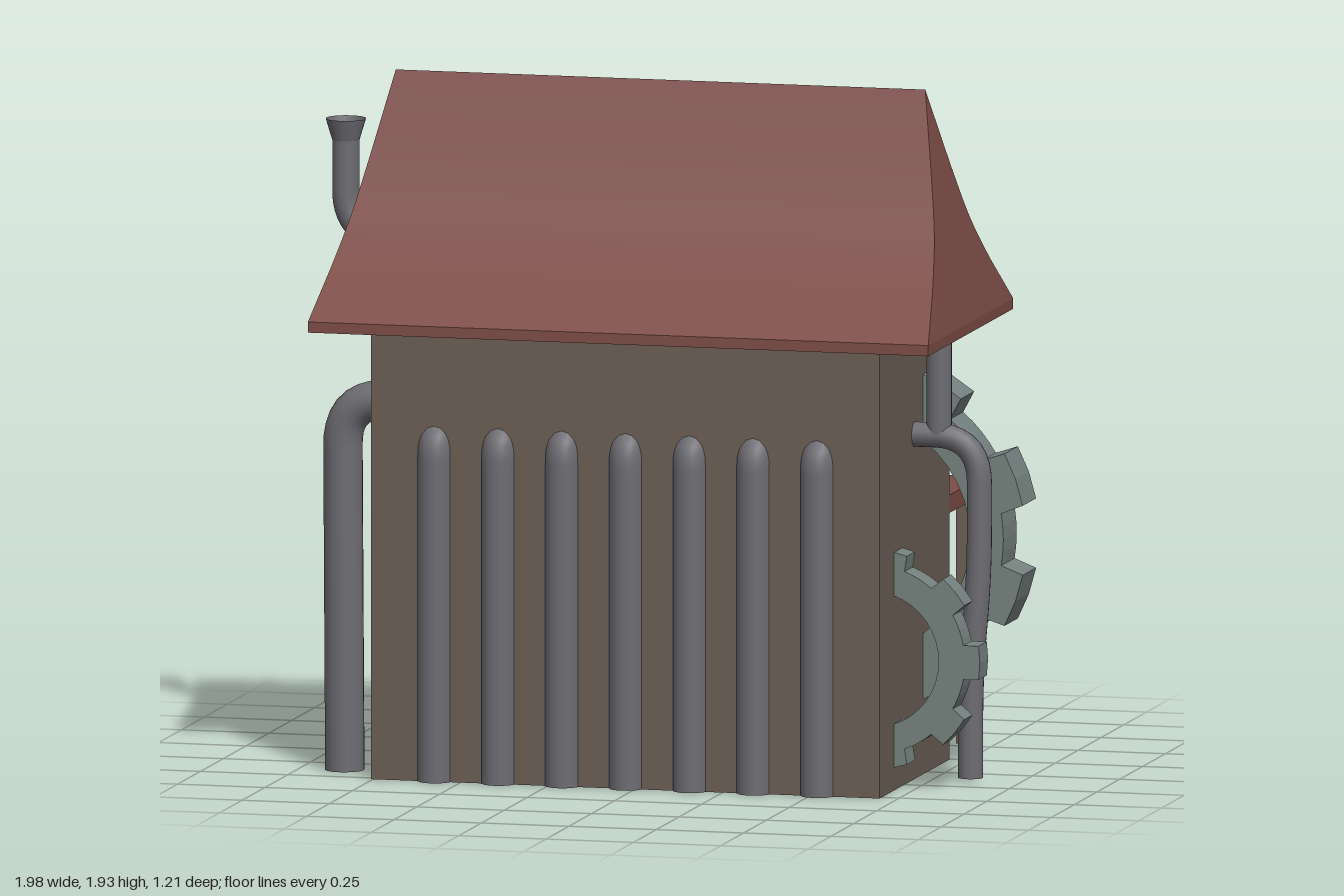
import * as THREE from 'three';

const mat = (color, side = THREE.FrontSide) => new THREE.MeshStandardMaterial({ color, side });
const V = (x, y, z) => new THREE.Vector3(x, y, z);

export function createModel() {
  const model = new THREE.Group();
  const wall = mat(0x6b5e55), tile = mat(0x7d4c47), metal = mat(0x6c6c72, THREE.DoubleSide);
  const iron = mat(0x75827f), glass = mat(0xb4c43c), dark = mat(0x4a403a);

  const add = (name, geometry, material, x = 0, y = 0, z = 0, parent = model) => {
    const mesh = new THREE.Mesh(geometry, material);
    mesh.name = name;
    mesh.position.set(x, y, z);
    parent.add(mesh);
    return mesh;
  };
  // Box given by its min and max corners
  const box = (name, material, x0, x1, y0, y1, z0, z1) =>
    add(name, new THREE.BoxGeometry(x1 - x0, y1 - y0, z1 - z0), material,
      (x0 + x1) / 2, (y0 + y1) / 2, (z0 + z1) / 2);

  // Pipe along straight runs with rounded corners; ends are capped
  const pipe = (name, points, r, bend) => {
    const path = new THREE.CurvePath();
    let from = points[0];
    for (let i = 1; i < points.length - 1; i++) {
      const p = points[i];
      const a = p.clone().add(points[i - 1].clone().sub(p).setLength(bend));
      const b = p.clone().add(points[i + 1].clone().sub(p).setLength(bend));
      path.add(new THREE.LineCurve3(from, a));
      path.add(new THREE.QuadraticBezierCurve3(a, p, b));
      from = b;
    }
    path.add(new THREE.LineCurve3(from, points[points.length - 1]));
    add(name, new THREE.TubeGeometry(path, 48, r, 16), metal);
    for (const t of [0, 1]) {
      const p = path.getPoint(t), d = path.getTangent(t).multiplyScalar(t ? 1 : -1);
      const cap = add(name + 'Cap', new THREE.CircleGeometry(r, 16), metal, p.x, p.y, p.z);
      cap.lookAt(p.clone().add(d));
    }
  };

  // Toothed ring, centred in depth; one tooth is centred on the phase angle
  const gear = (name, R, root, hole, teeth, depth, phase, x, y, z) => {
    const shape = new THREE.Shape(), pitch = (Math.PI * 2) / teeth;
    const to = (r, a) => shape.currentPoint.lengthSq() || shape.curves.length
      ? shape.lineTo(r * Math.cos(a), r * Math.sin(a)) : shape.moveTo(r * Math.cos(a), r * Math.sin(a));
    for (let i = 0; i < teeth; i++) {
      const a = phase + i * pitch;
      for (const [r, k] of [[root, -0.26], [R, -0.22], [R, 0], [R, 0.22], [root, 0.26], [root, 0.38], [root, 0.5], [root, 0.62]])
        to(r, a + k * pitch);
    }
    shape.closePath();
    shape.holes.push(new THREE.Path().absarc(0, 0, hole, 0, Math.PI * 2, true));
    const g = new THREE.ExtrudeGeometry(shape, { depth, bevelEnabled: false, curveSegments: 20 });
    g.translate(0, 0, -depth / 2);
    return add(name, g, iron, x, y, z);
  };

  // House body and door
  box('body', wall, -0.755, 0.7, 0, 1.26, -0.24, 0.525);
  box('door', dark, 0.19, 0.48, 0, 0.6, -0.245, -0.2);

  // Flared hip roof: rectangles shrinking toward the ridge, with a flat eave board
  box('eaves', tile, -0.915, 0.86, 1.255, 1.285, -0.325, 0.605);
  const flare = new THREE.SplineCurve([[0.465, 1.285], [0.38, 1.36], [0.296, 1.436], [0.194, 1.55],
    [0.117, 1.685], [0.052, 1.82], [0, 1.93]].map(p => new THREE.Vector2(...p)));
  const levels = flare.getPoints(24).map(({ x: h, y }) => {
    const t = (y - 1.285) / 0.645, x0 = -0.915 + 0.13 * t, x1 = 0.86 - 0.13 * t;
    return [V(x0, y, 0.14 + h), V(x1, y, 0.14 + h), V(x1, y, 0.14 - h), V(x0, y, 0.14 - h)];
  });
  for (let s = 0; s < 4; s++) {
    const pts = [], index = [];
    levels.forEach((ring, i) => {
      pts.push(ring[s], ring[(s + 1) % 4]);
      const k = i * 2;
      if (i < levels.length - 1) index.push(k, k + 1, k + 3, k, k + 3, k + 2);
    });
    const g = new THREE.BufferGeometry().setFromPoints(pts);
    g.setIndex(index);
    g.computeVertexNormals();
    add(['roofFront', 'roofLeft', 'roofBack', 'roofRight'][s], g, tile);
  }

  // Porch on the back
  box('porchRoof', tile, -0.755, 0.7, 0.69, 0.74, -0.607, -0.235);
  for (const x of [-0.75, 0.64]) box('porchPost', wall, x, x + 0.055, 0, 0.69, -0.597, -0.542);

  // Row of pipes on the front wall
  for (let i = 0; i < 7; i++) {
    const x = -0.575 + i * 0.1825;
    pipe('frontPipe', [V(x, 0, 0.512), V(x, 0.98, 0.512), V(x, 0.98, 0.38)], 0.049, 0.08);
  }

  // Side pipes and roof pipes
  pipe('rightDrainPipe', [V(-0.72, 1.04, 0.365), V(-0.878, 1.04, 0.365), V(-0.872, 0, 0.365)], 0.055, 0.13);
  pipe('leftUpperPipe', [V(0.77, 1.27, 0.14), V(0.77, 0.97, 0.14)], 0.035, 0.1);
  pipe('leftLowerPipe', [V(0.66, 0.965, 0.14), V(0.885, 0.965, 0.14), V(0.885, 0.58, 0.14),
    V(0.86, 0.3, 0.14), V(0.86, 0.01, 0.14)], 0.035, 0.13);
  pipe('roofVentPipe', [V(-0.03, 1.555, 0.04), V(-0.03, 1.555, -0.152), V(-0.03, 1.38, -0.152)], 0.035, 0.08);
  pipe('chimney', [V(-0.78, 1.44, 0.085), V(-0.942, 1.46, 0.085), V(-0.942, 1.73, 0.085)], 0.038, 0.12);
  add('chimneyFlare', new THREE.CylinderGeometry(0.056, 0.038, 0.06, 20, 1, true), metal, -0.942, 1.75, 0.085);

  // Gears half sunk into the left wall
  gear('largeGear', 0.5, 0.435, 0.34, 9, 0.147, Math.PI / 9, 0.495, 0.665, -0.023);
  gear('mediumGear', 0.308, 0.265, 0.19, 9, 0.09, 0, 0.637, 0.365, 0.32);

  // Flat gear train on the right wall
  for (const [R, hole, teeth, y, z] of [[0.205, 0.115, 12, 0.275, 0.05], [0.155, 0.065, 10, 0.685, 0.03], [0.095, 0.04, 8, 0.515, 0.215]])
    gear('wallGear', R, R * 0.83, hole, teeth, 0.06, 0, -0.767, y, z).rotation.y = Math.PI / 2;

  // Four upright gears half sunk into the back wall
  for (let i = 0; i < 4; i++)
    gear('backGear', 0.206, 0.175, 0.135, 9, 0.06, 0.14, -0.538 + i * 0.145, 0.995, -0.187).rotation.y = Math.PI / 2;

  // Round windows on the back wall
  for (const [x, y] of [[0.33, 1.03], [-0.385, 0.425]]) {
    const win = new THREE.Group();
    win.name = 'window';
    win.position.set(x, y, -0.235);
    win.rotation.y = Math.PI;
    const ring = new THREE.Shape().absarc(0, 0, 0.172, 0, Math.PI * 2);
    ring.holes.push(new THREE.Path().absarc(0, 0, 0.142, 0, Math.PI * 2, true));
    add('windowFrame', new THREE.ExtrudeGeometry(ring, { depth: 0.025, bevelEnabled: false, curveSegments: 32 }), iron, 0, 0, 0, win);
    add('windowGlass', new THREE.CircleGeometry(0.15, 40), glass, 0, 0, 0.01, win);
    add('windowBar', new THREE.BoxGeometry(0.29, 0.018, 0.02), iron, 0, 0, 0.012, win);
    add('windowBar', new THREE.BoxGeometry(0.018, 0.29, 0.02), iron, 0, 0, 0.012, win);
    model.add(win);
  }
  return model;
}
